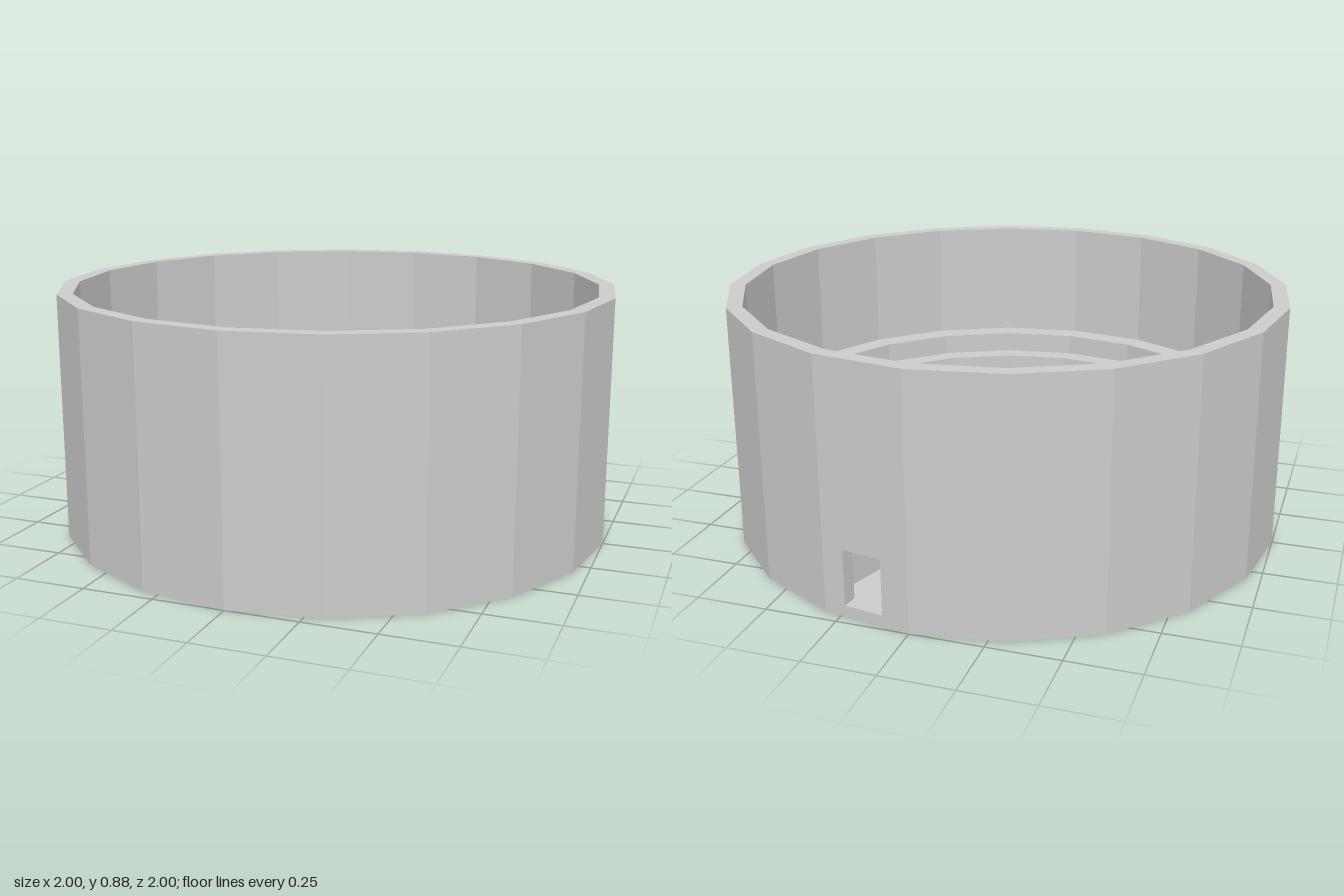
import * as THREE from 'three';

const SIDES = 20;
const STEP = (Math.PI * 2) / SIDES;
const OUTER = 1, INNER = 0.945, HEIGHT = 0.875, FLOOR = 0.04;
const TIER_TOP = 0.43, TIER_RISE = 0.078;
const TIER_RADII = [0.945, 0.86, 0.785, 0.707, 0.63, 0.555];

const material = new THREE.MeshStandardMaterial({ color: 0xcccccc, flatShading: true });
const thinMaterial = new THREE.MeshStandardMaterial({
  color: 0xcccccc, flatShading: true, side: THREE.DoubleSide,
});

// Faceted ring that leaves one facet open at the back for the entrance
function openRing(points) {
  const profile = points.map(([r, y]) => new THREE.Vector2(r, y));
  return new THREE.LatheGeometry(profile, SIDES - 1, Math.PI, STEP * (SIDES - 1));
}

// The facet with the doorway, mitred on its inner side to meet the ring
function doorPanel() {
  const half = OUTER * Math.sin(STEP / 2);
  const apothem = Math.cos(STEP / 2);
  const depth = (OUTER - INNER) * apothem;
  const shape = new THREE.Shape([
    new THREE.Vector2(-half, 0), new THREE.Vector2(half, 0),
    new THREE.Vector2(half, HEIGHT), new THREE.Vector2(-half, HEIGHT),
  ]);
  shape.holes.push(new THREE.Path([
    new THREE.Vector2(-0.08, FLOOR), new THREE.Vector2(-0.08, 0.237),
    new THREE.Vector2(0.06, 0.237), new THREE.Vector2(0.06, FLOOR),
  ]));
  const geometry = new THREE.ExtrudeGeometry(shape, { depth, bevelEnabled: false });
  const pos = geometry.attributes.position;
  for (let i = 0; i < pos.count; i++) {
    const x = pos.getX(i);
    if (pos.getZ(i) < depth / 2 && Math.abs(x) > half - 0.001) pos.setX(i, x * INNER);
  }
  geometry.translate(0, 0, INNER * apothem);
  geometry.rotateY(Math.PI - STEP / 2);
  geometry.computeVertexNormals();
  return geometry;
}

export function createModel() {
  const group = new THREE.Group();
  const add = (name, geometry, mat = material) => {
    const mesh = new THREE.Mesh(geometry, mat);
    mesh.name = name;
    group.add(mesh);
    return mesh;
  };

  // Outer wall and entrance
  add('outerWall', openRing([
    [INNER, 0], [OUTER, 0], [OUTER, HEIGHT], [INNER, HEIGHT], [INNER, 0],
  ]));
  add('doorPanel', doorPanel());

  // Arena floor
  add('floor', new THREE.CylinderGeometry(INNER, INNER, FLOOR, SIDES).translate(0, FLOOR / 2, 0));

  // Stepped seating, from the top tier down to the floor
  const steps = [[TIER_RADII[0], TIER_TOP]];
  for (let i = 1; i < TIER_RADII.length; i++) {
    const y = TIER_TOP - TIER_RISE * (i - 1);
    steps.push([TIER_RADII[i], y], [TIER_RADII[i], y - TIER_RISE]);
  }
  add('seatingTiers', openRing(steps));

  // Thin walls on both sides of the entrance passage
  const inner = TIER_RADII[TIER_RADII.length - 1];
  for (const [name, angle] of [['passageWallRight', Math.PI], ['passageWallLeft', Math.PI - STEP]]) {
    const plane = new THREE.PlaneGeometry(INNER - inner, TIER_TOP - FLOOR);
    plane.translate((INNER + inner) / 2, (TIER_TOP + FLOOR) / 2, 0);
    add(name, plane, thinMaterial).rotation.y = angle - Math.PI / 2;
  }

  return group;
}
